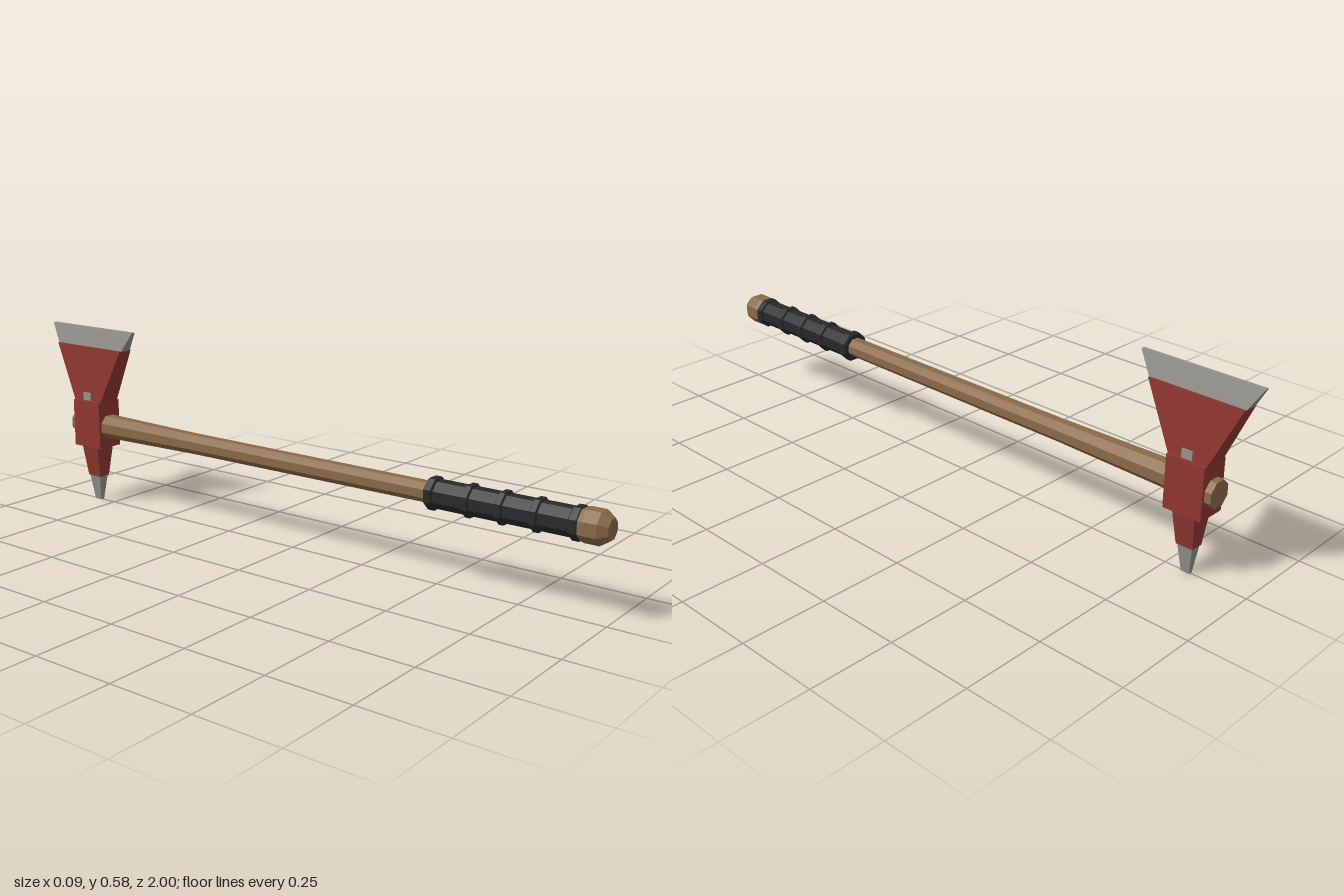
import * as THREE from 'three';

const AXIS_Y = 0.258; // height of the handle axis
const HEAD_Z = -0.817; // centre of the head along the handle

function material(name, color) {
  const m = new THREE.MeshStandardMaterial({ color, flatShading: true });
  m.name = name;
  return m;
}

// Eight-sided turned part along z; profile is [z, flat radius] with z rising
function turned(name, profile, mat) {
  const k = 1 / Math.cos(Math.PI / 8);
  const first = profile[0], last = profile[profile.length - 1];
  const pts = [[first[0], 0], ...profile, [last[0], 0]]
    .map(([z, r]) => new THREE.Vector2(r * k, z));
  const geo = new THREE.LatheGeometry(pts, 8, Math.PI / 8);
  geo.rotateX(Math.PI / 2);
  const mesh = new THREE.Mesh(geo, mat);
  mesh.name = name;
  mesh.position.y = AXIS_Y;
  return mesh;
}

// Box tapering from bottom half sizes [x, z] to top half sizes [x, z]
function wedge(name, y0, bottom, y1, top, mat) {
  const geo = new THREE.BoxGeometry(2, y1 - y0, 2);
  const p = geo.attributes.position;
  for (let i = 0; i < p.count; i++) {
    const [hx, hz] = p.getY(i) > 0 ? top : bottom;
    p.setX(i, p.getX(i) * hx);
    p.setZ(i, p.getZ(i) * hz);
  }
  geo.computeVertexNormals();
  const mesh = new THREE.Mesh(geo, mat);
  mesh.name = name;
  mesh.position.set(0, (y0 + y1) / 2, HEAD_Z);
  return mesh;
}

export function createModel() {
  const wood = material('wood', 0x8a6a48);
  const red = material('red paint', 0x8f3630);
  const steel = material('steel', 0x92918a);
  const rubber = material('black grip', 0x28292b);

  const model = new THREE.Group();
  model.name = 'axe';

  // Handle: shaft flaring into the head, grip and end knob
  const handle = new THREE.Group();
  handle.name = 'handle';
  handle.add(turned('shaft', [
    [-0.895, 0.037], [-0.75, 0.036], [-0.63, 0.034], [-0.38, 0.03], [0.5, 0.028],
  ], wood));
  handle.add(turned('knob', [
    [0.915, 0.04], [0.935, 0.044], [0.975, 0.044], [1, 0.028],
  ], wood));
  handle.add(turned('grip', [[0.475, 0.038], [0.925, 0.038]], rubber));
  for (const [z, w] of [[0.487, 0.014], [0.6, 0.011], [0.7, 0.011], [0.8, 0.011], [0.91, 0.014]]) {
    handle.add(turned('gripRing', [
      [z - w, 0.039], [z - w * 0.7, 0.044], [z + w * 0.7, 0.044], [z + w, 0.039],
    ], rubber));
  }
  model.add(handle);

  // Head: socket, flared cheek with cutting edge above, pick below
  const head = new THREE.Group();
  head.name = 'head';
  head.add(wedge('socket', 0.187, [0.045, 0.058], 0.34, [0.045, 0.058], red));
  head.add(wedge('bladeCheek', 0.335, [0.038, 0.056], 0.517, [0.025, 0.142], red));
  head.add(wedge('cuttingEdge', 0.515, [0.02, 0.142], 0.578, [0.006, 0.181], steel));
  head.add(wedge('pickBase', 0.083, [0.02, 0.026], 0.19, [0.036, 0.035], red));
  head.add(wedge('pickTip', 0, [0.006, 0.013], 0.085, [0.018, 0.023], steel));

  // Pin through the cheek, showing on both sides
  head.add(wedge('pin', 0.343, [0.041, 0.016], 0.368, [0.04, 0.016], steel));
  model.add(head);

  return model;
}
